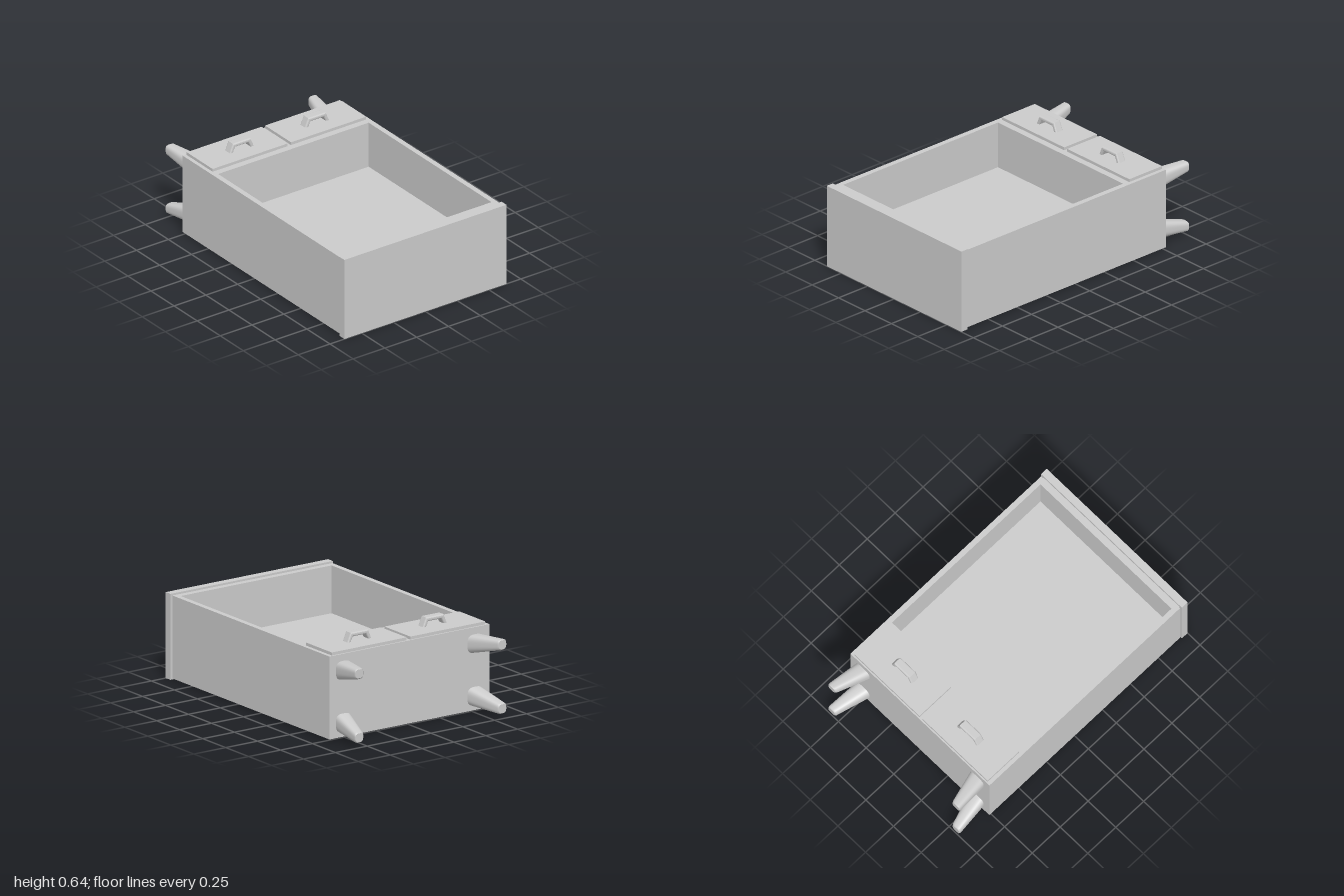
import * as THREE from 'three';

const grey = new THREE.MeshStandardMaterial({ color: 0xcccccc });

function add(parent, name, geometry) {
  const mesh = new THREE.Mesh(geometry, grey);
  mesh.name = name;
  parent.add(mesh);
  return mesh;
}

// Box given by its limits on each axis
function box(parent, name, [x0, x1], [y0, y1], [z0, z1]) {
  const mesh = add(parent, name, new THREE.BoxGeometry(x1 - x0, y1 - y0, z1 - z0));
  mesh.position.set((x0 + x1) / 2, (y0 + y1) / 2, (z0 + z1) / 2);
  return mesh;
}

// Rectangle in x and z, drawn so that it can be extruded upward
function rectangle(Type, x, z0, z1) {
  return new Type([[-x, -z0], [-x, -z1], [x, -z1], [x, -z0]].map(p => new THREE.Vector2(...p)));
}

// Tapered, splayed leg with a rounded-square section and a small bevel at the tip
function legGeometry(sideX, sideY) {
  const g = new THREE.CylinderGeometry(1, 1, 1, 32, 2).rotateX(-Math.PI / 2);
  const p = g.attributes.position;
  for (let i = 0; i < p.count; i++) {
    let t = 0.5 - p.getZ(i);
    const atTip = t > 0.99;
    if (t > 0.4 && !atTip) t = 0.96;
    const x = p.getX(i), y = p.getY(i);
    const norm = Math.pow(Math.abs(x) ** 3.2 + Math.abs(y) ** 3.2, 1 / 3.2) || 1;
    const r = (THREE.MathUtils.lerp(0.061, 0.035, t) - (atTip ? 0.006 : 0)) / norm;
    p.setXYZ(i,
      sideX * (0.516 + 0.046 * t) + x * r,
      0.278 + sideY * (0.174 + 0.038 * t) + y * r,
      -0.765 - 0.235 * t);
  }
  g.computeVertexNormals();
  return g;
}

// Angular arched handle with softened edges
function handleGeometry() {
  const bevel = 0.01;
  const points = [[-0.085, 0], [-0.062, 0.05], [0.062, 0.05], [0.085, 0],
    [0.079, 0], [0.058, 0.043], [-0.058, 0.043], [-0.079, 0]];
  const shape = new THREE.Shape(points.map(p => new THREE.Vector2(...p)));
  return new THREE.ExtrudeGeometry(shape, {
    depth: 0.04, bevelEnabled: true, bevelSize: bevel, bevelThickness: bevel, bevelSegments: 4,
  }).translate(0, 0, -0.02);
}

export function createModel() {
  const model = new THREE.Group();
  model.name = 'nightstand';

  // Cabinet walls around the open compartment
  const outline = rectangle(THREE.Shape, 0.628, -0.766, 0.94);
  outline.holes.push(rectangle(THREE.Path, 0.592, -0.43, 0.9));
  const walls = new THREE.ExtrudeGeometry(outline, { depth: 0.55, bevelEnabled: false });
  add(model, 'cabinetWalls', walls.rotateX(-Math.PI / 2).translate(0, 0.01, 0));
  box(model, 'compartmentPanel', [-0.592, 0.592], [0.01, 0.243], [-0.43, 0.9]);

  // Slab at the end, joined by a slightly inset strip
  box(model, 'topSlab', [-0.637, 0.637], [0, 0.57], [0.949, 1]);
  box(model, 'slabJoint', [-0.615, 0.615], [0.023, 0.547], [0.935, 0.952]);

  for (const side of [-1, 1]) {
    // Drawer front and its handle
    const drawer = new THREE.Group();
    drawer.name = side < 0 ? 'rightDrawer' : 'leftDrawer';
    box(drawer, 'drawerFront', [side * 0.308 - 0.294, side * 0.308 + 0.294], [0.555, 0.58], [-0.756, -0.475]);
    add(drawer, 'drawerHandle', handleGeometry()).position.set(side * 0.296, 0.58, -0.607);
    model.add(drawer);

    // Legs
    for (const level of [-1, 1]) {
      const name = (level < 0 ? 'lower' : 'upper') + (side < 0 ? 'Right' : 'Left') + 'Leg';
      add(model, name, legGeometry(side, level));
    }
  }
  return model;
}
